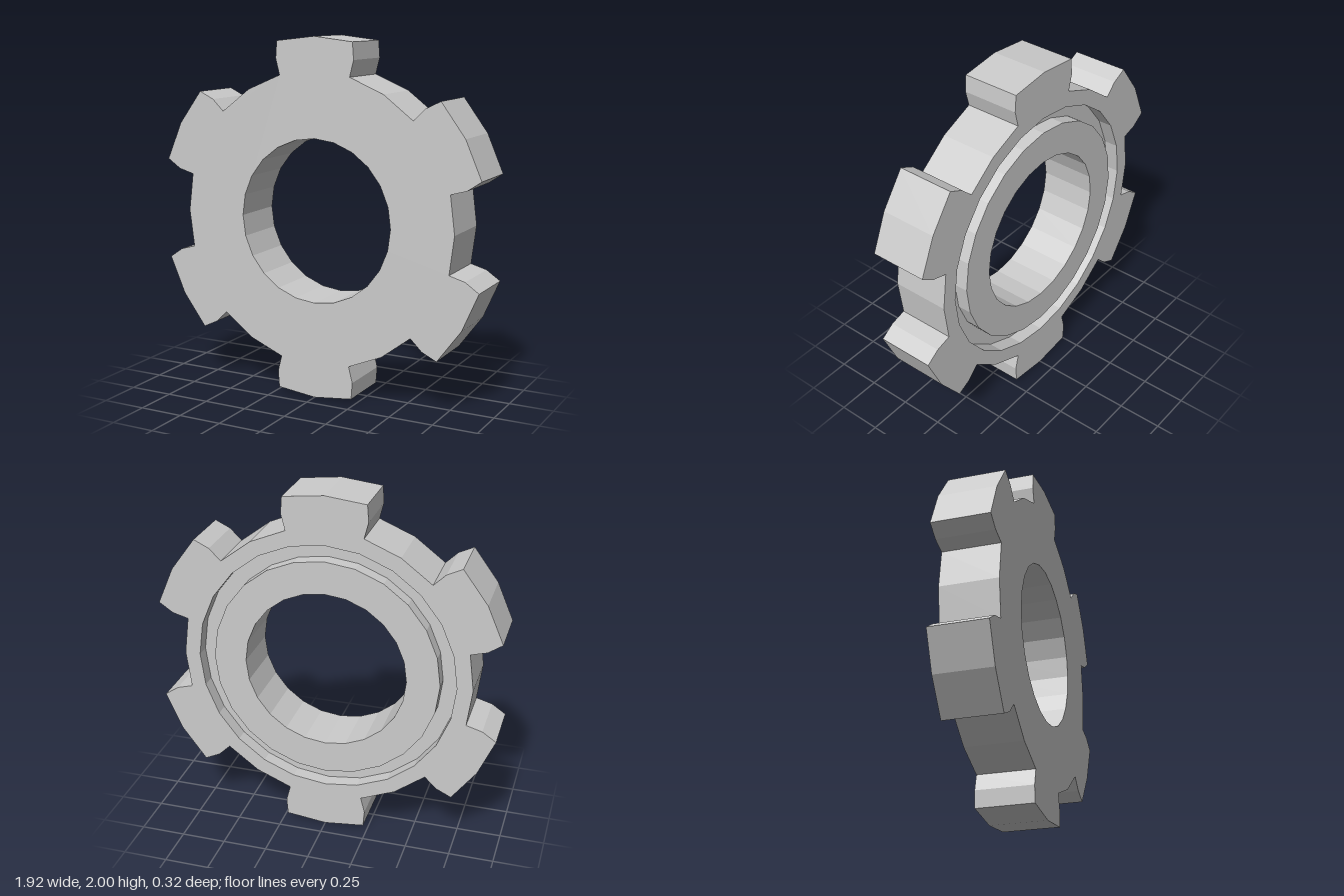
import * as THREE from 'three';

const TEETH = 6, HALF = 0.16, GROOVE_Z = -0.08;
const R_HOLE = 0.456, R_ROOT = 0.817, R_GROOVE_IN = 0.64, R_GROOVE_OUT = 0.73;

const material = new THREE.MeshStandardMaterial({ color: 0xcccccc, flatShading: true });

// 24-sided counter-clockwise ring
function circle(r, n = 24) {
  return Array.from({ length: n }, (_, i) => {
    const a = (i / n) * Math.PI * 2;
    return new THREE.Vector2(Math.cos(a) * r, Math.sin(a) * r);
  });
}

// Gear outline: one tooth plus one root vertex, repeated around the centre
function gearOutline() {
  const tooth = [[0.212, 0.79], [0.235, 0.88], [0.228, 0.974], [0, 1],
    [-0.228, 0.974], [-0.235, 0.88], [-0.212, 0.79]];
  const root = [-R_ROOT * 0.5, R_ROOT * Math.sqrt(0.75)];
  const points = [];
  for (let i = 0; i < TEETH; i++) {
    const a = (i / TEETH) * Math.PI * 2;
    for (const [x, y] of [...tooth, root]) {
      points.push(new THREE.Vector2(x, y).rotateAround(new THREE.Vector2(), a));
    }
  }
  return points;
}

// Flat face with a hole, turned to the back on request
function face(outer, hole, z, back) {
  const shape = new THREE.Shape(outer);
  shape.holes.push(new THREE.Path(hole));
  const g = new THREE.ShapeGeometry(shape);
  if (back) g.rotateY(Math.PI);
  return g.translate(0, 0, z);
}

// Wall swept along z from a closed loop, facing outward or inward
function wall(loop, z0, z1, inward) {
  const pos = [];
  loop.forEach((p, i) => {
    let a = p, b = loop[(i + 1) % loop.length];
    if (inward) [a, b] = [b, a];
    pos.push(a.x, a.y, z0, b.x, b.y, z0, b.x, b.y, z1);
    pos.push(a.x, a.y, z0, b.x, b.y, z1, a.x, a.y, z1);
  });
  const g = new THREE.BufferGeometry();
  g.setAttribute('position', new THREE.Float32BufferAttribute(pos, 3));
  g.computeVertexNormals();
  return g;
}

export function createModel() {
  const gear = new THREE.Group();
  gear.name = 'gear';
  const add = (name, geometry) => {
    const mesh = new THREE.Mesh(geometry, material);
    mesh.name = name;
    mesh.position.y = 1;
    gear.add(mesh);
  };
  const outline = gearOutline(), hole = circle(R_HOLE);
  const grooveIn = circle(R_GROOVE_IN), grooveOut = circle(R_GROOVE_OUT);

  // Toothed body and bore
  add('frontFace', face(outline, hole, HALF, false));
  add('toothedRim', wall(outline, -HALF, HALF, false));
  add('bore', wall(hole, -HALF, HALF, true));

  // Back face, split by the ring groove
  add('backOuterFace', face(outline, grooveOut, -HALF, true));
  add('backInnerFace', face(grooveIn, hole, -HALF, true));
  add('grooveFloor', face(grooveOut, grooveIn, GROOVE_Z, true));
  add('grooveOuterWall', wall(grooveOut, -HALF, GROOVE_Z, true));
  add('grooveInnerWall', wall(grooveIn, -HALF, GROOVE_Z, false));
  return gear;
}
